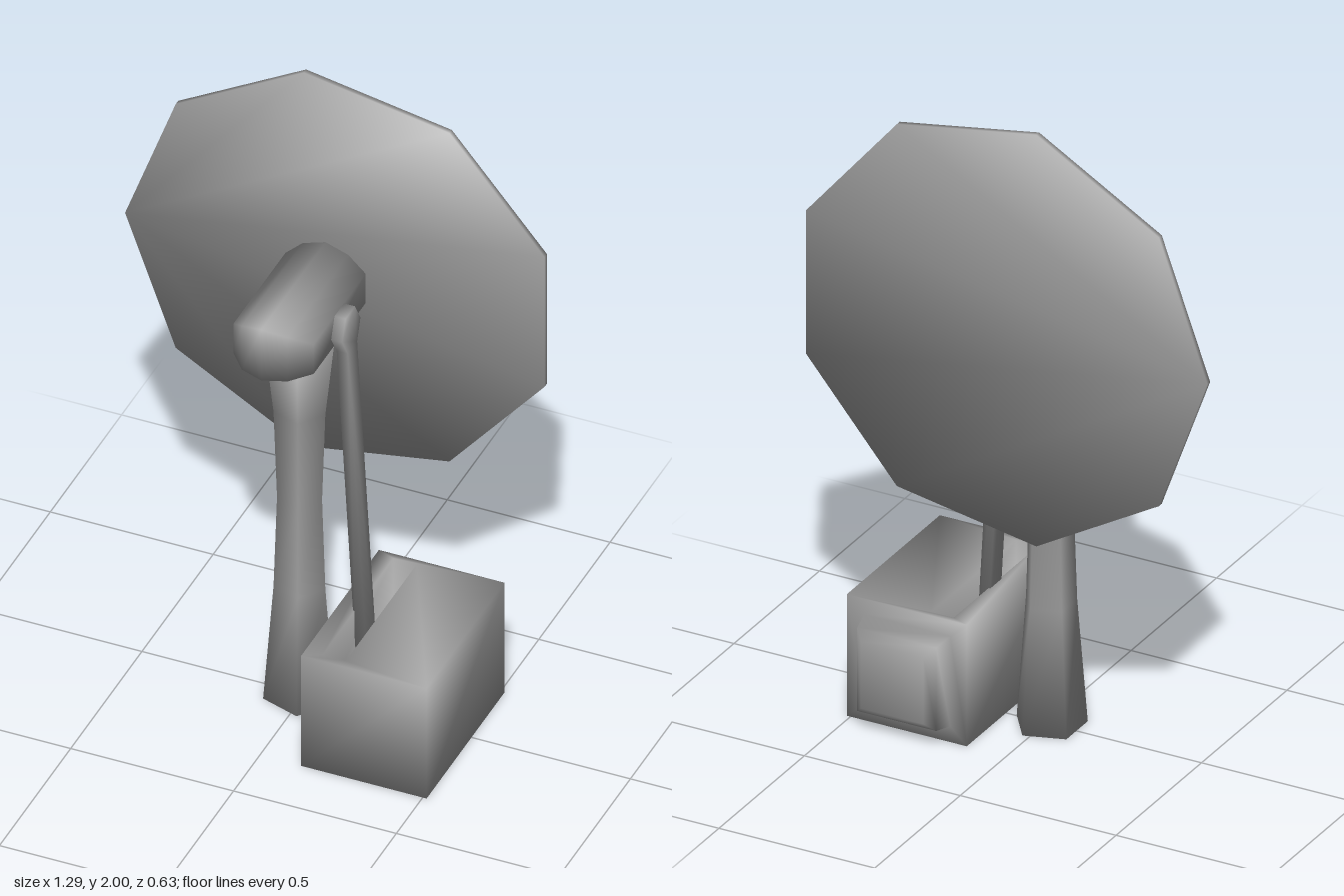
import * as THREE from 'three';
import { mergeGeometries, mergeVertices } from 'three/addons/utils/BufferGeometryUtils.js';

const material = new THREE.MeshStandardMaterial({ color: 0x9b9b9b });

// Weld shared corners and blend face normals by corner angle, so shading rolls over every edge
function smooth(geometry) {
  geometry.deleteAttribute('normal');
  geometry.deleteAttribute('uv');
  const welded = mergeVertices(geometry, 1e-4);
  const { position } = welded.attributes;
  const index = welded.index.array;
  const sums = Array.from({ length: position.count }, () => new THREE.Vector3());
  for (let t = 0; t < index.length; t += 3) {
    const ids = [index[t], index[t + 1], index[t + 2]];
    const corners = ids.map((i) => new THREE.Vector3().fromBufferAttribute(position, i));
    const normal = new THREE.Triangle(...corners).getNormal(new THREE.Vector3());
    ids.forEach((id, k) => {
      const a = corners[(k + 1) % 3].clone().sub(corners[k]);
      const b = corners[(k + 2) % 3].clone().sub(corners[k]);
      sums[id].addScaledVector(normal, a.angleTo(b));
    });
  }
  const normals = sums.flatMap((n) => n.normalize().toArray());
  welded.setAttribute('normal', new THREE.Float32BufferAttribute(normals, 3));
  return welded;
}

// Move every vertex of a geometry by a rule
function reshape(geometry, rule) {
  const p = geometry.attributes.position;
  const v = new THREE.Vector3();
  for (let i = 0; i < p.count; i++) {
    rule(v.fromBufferAttribute(p, i));
    p.setXYZ(i, v.x, v.y, v.z);
  }
  return geometry;
}

// Remove the triangles whose three corners all pass a test
function dropFaces(geometry, test) {
  const p = geometry.attributes.position;
  const index = geometry.index.array;
  const kept = [];
  for (let t = 0; t < index.length; t += 3) {
    const ids = [index[t], index[t + 1], index[t + 2]];
    if (!ids.every((i) => test(p.getX(i), p.getZ(i)))) kept.push(...ids);
  }
  geometry.setIndex(kept);
  return geometry;
}

// Cross-sections, counter-clockwise seen from above
const rectangle = (y, x0, x1, z0, z1) => [[x1, y, z1], [x1, y, z0], [x0, y, z0], [x0, y, z1]];
const polygon = (y, radius, sides, start) => Array.from({ length: sides }, (_, i) => {
  const a = start + (i / sides) * Math.PI * 2;
  return [radius * Math.cos(a), y, -radius * Math.sin(a)];
});

// Skin a stack of cross-sections and cap both ends
function loft(rings) {
  const n = rings[0].length;
  const last = (rings.length - 1) * n;
  const index = [];
  for (let start = 0; start < last; start += n) {
    for (let j = 0; j < n; j++) {
      const a = start + j;
      const b = start + ((j + 1) % n);
      index.push(a, b, b + n, a, b + n, a + n);
    }
  }
  for (let j = 1; j < n - 1; j++) {
    index.push(0, j + 1, j, last, last + j, last + j + 1);
  }
  const geometry = new THREE.BufferGeometry();
  geometry.setAttribute('position', new THREE.Float32BufferAttribute(rings.flat(2), 3));
  geometry.setIndex(index);
  return geometry;
}

export function createModel() {
  const model = new THREE.Group();
  model.name = 'windmill';
  const add = (name, geometry, x = 0, y = 0, z = 0) => {
    const mesh = new THREE.Mesh(smooth(geometry), material);
    mesh.name = name;
    mesh.position.set(x, y, z);
    model.add(mesh);
  };

  // Nine-sided disc standing behind the head
  const disc = loft([-0.0085, 0.0085].map((y) => polygon(y, 0.664, 9, Math.PI)));
  add('rotorDisc', disc.rotateX(Math.PI / 2), 0.018, 1.347, -0.224);

  // Waisted five-sided post
  const post = [[0, 0.107], [0.39, 0.077], [0.7, 0.067], [1, 0.077], [1.28, 0.107]];
  add('post', loft(post.map(([y, r]) => polygon(y, r, 5, 0))), -0.012, 0, 0.004);

  // Head: block domed on top and rounded at the front, both by x
  const columns = [-0.123, -0.07, 0, 0.07, 0.123];
  const tops = [1.382, 1.432, 1.456, 1.432, 1.382];
  const noses = [0.185, 0.247, 0.272, 0.247, 0.185];
  const head = reshape(new THREE.BoxGeometry(4, 1, 1, 4, 1, 1), (v) => {
    const i = Math.round(v.x + 2);
    v.set(columns[i], v.y > 0 ? tops[i] : 1.279, v.z > 0 ? noses[i] : -0.18);
  });
  add('head', head, -0.015);

  // Leaning lever with a hexagonal end, sheared sideways as it drops
  const lever = new THREE.Shape([
    [-0.033, 0.19], [0.033, 0.19], [0.033, 1.28], [0.064, 1.34],
    [0.033, 1.4], [-0.033, 1.4], [-0.064, 1.34], [-0.033, 1.28],
  ].map(([x, y]) => new THREE.Vector2(x, y)));
  const leverBar = new THREE.ExtrudeGeometry(lever, { depth: 0.034, bevelEnabled: false });
  leverBar.rotateY(Math.PI / 2);
  reshape(leverBar, (v) => { v.x += 0.118 + (1.4 - v.y) * 0.056; });
  add('lever', leverBar, 0, 0, 0.028);

  // Box: up the walls, in across the top, then down into a long slot
  const box = loft([
    rectangle(0, 0.127, 0.512, -0.23, 0.315),
    rectangle(0.386, 0.127, 0.512, -0.23, 0.315),
    rectangle(0.386, 0.18, 0.252, -0.21, 0.287),
    rectangle(0.2, 0.18, 0.252, -0.21, 0.287),
  ]);

  // Bevelled cover growing out of the box's back wall: inset grows with each ring
  const cover = loft([
    rectangle(0.23, 0.127, 0.512, 0, 0.386),
    ...[[0.23, 0], [0.292, 0.011], [0.318, 0.038]].map(([y, inset]) => (
      rectangle(y, 0.18 + inset, 0.456 - inset, 0.05 + inset, 0.336 - inset))),
  ]).rotateX(-Math.PI / 2);

  // Join the two, without the wall hidden between them
  const isBackCorner = (x, z) => Math.abs(z + 0.23) < 0.001 && (x < 0.13 || x > 0.51);
  add('slottedBox', dropFaces(mergeGeometries([box, cover]), isBackCorner));

  return model;
}
